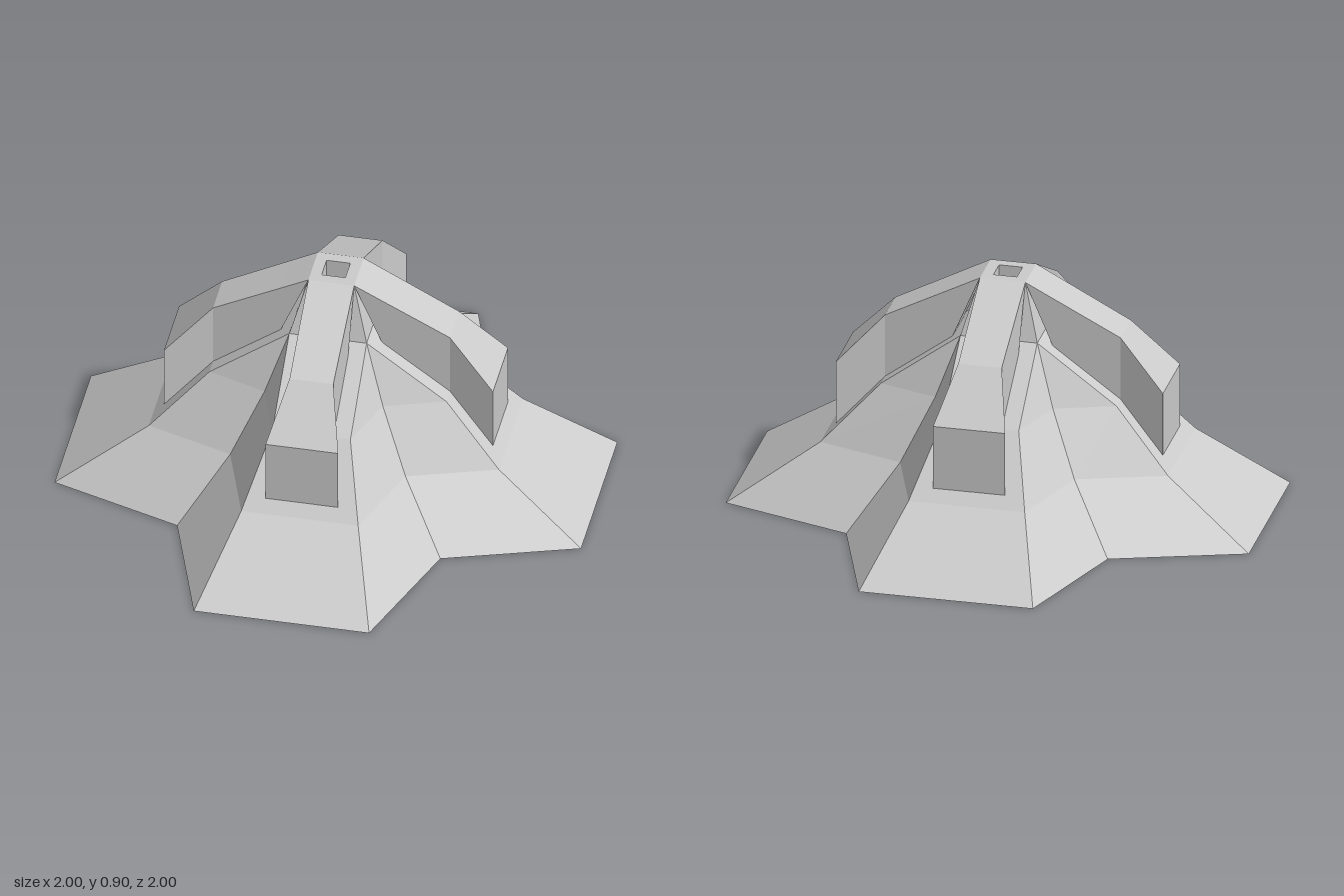
import * as THREE from 'three';

const material = new THREE.MeshStandardMaterial({ color: 0xcccccc, flatShading: true });

// Flat-shaded surface through a series of closed rings; collapsed triangles are skipped
function skin(name, rings) {
  const pos = [];
  const tri = (a, b, c) => {
    const area = b.clone().sub(a).cross(c.clone().sub(a)).length();
    if (area > 1e-7) for (const p of [a, b, c]) pos.push(p.x, p.y, p.z);
  };
  for (let r = 0; r < rings.length - 1; r++) {
    const lo = rings[r], hi = rings[r + 1], n = lo.length;
    for (let i = 0; i < n; i++) {
      const j = (i + 1) % n;
      tri(lo[i], lo[j], hi[j]);
      tri(lo[i], hi[j], hi[i]);
    }
  }
  const geometry = new THREE.BufferGeometry();
  geometry.setAttribute('position', new THREE.Float32BufferAttribute(pos, 3));
  geometry.computeVertexNormals();
  const mesh = new THREE.Mesh(geometry, material);
  mesh.name = name;
  return mesh;
}

// Four-lobed outline: lobe reach, lobe half width, inner corner
function crossRing([y, reach, half, corner]) {
  const ring = [];
  for (let k = 0; k < 4; k++) {
    for (const [x, z] of [[-half, reach], [half, reach], [corner, corner]]) {
      ring.push(new THREE.Vector3(x, y, z).applyAxisAngle(new THREE.Vector3(0, 1, 0), k * Math.PI / 2));
    }
  }
  return ring;
}

// Four-sided section of an arm: distance out, half width, top and bottom heights
function armRing([z, w, top, bottom]) {
  return [[w, top], [-w, top], [-w, bottom], [w, bottom]].map(([x, y]) => new THREE.Vector3(x, y, z));
}

export function createModel() {
  const model = new THREE.Group();
  model.name = 'crossShapedMount';

  // Flared base, central neck and square socket in the top
  model.add(skin('flaredBase', [
    [0, 0, 0, 0],
    [0, 1, 0.333, 0.5],
    [0.235, 0.665, 0.222, 0.333],
    [0.465, 0.45, 0.148, 0.225],
    [0.69, 0.147, 0.147, 0.147],
    [0.905, 0.087, 0.087, 0.087],
    [0.905, 0.045, 0.045, 0.045],
    [0.8, 0.045, 0.045, 0.045],
    [0.8, 0, 0, 0],
  ].map(crossRing)));

  // Four sloping arms with flared, square-cut ends
  for (let k = 0; k < 4; k++) {
    const arm = skin('arm', [
      [0.087, 0.087, 0.905, 0.905],
      [0.19, 0.086, 0.851, 0.66],
      [0.45, 0.083, 0.715, 0.4],
      [0.625, 0.138, 0.53, 0.275],
      [0.625, 0, 0.4, 0.4],
    ].map(armRing));
    arm.rotation.y = k * Math.PI / 2;
    model.add(arm);
  }
  return model;
}
